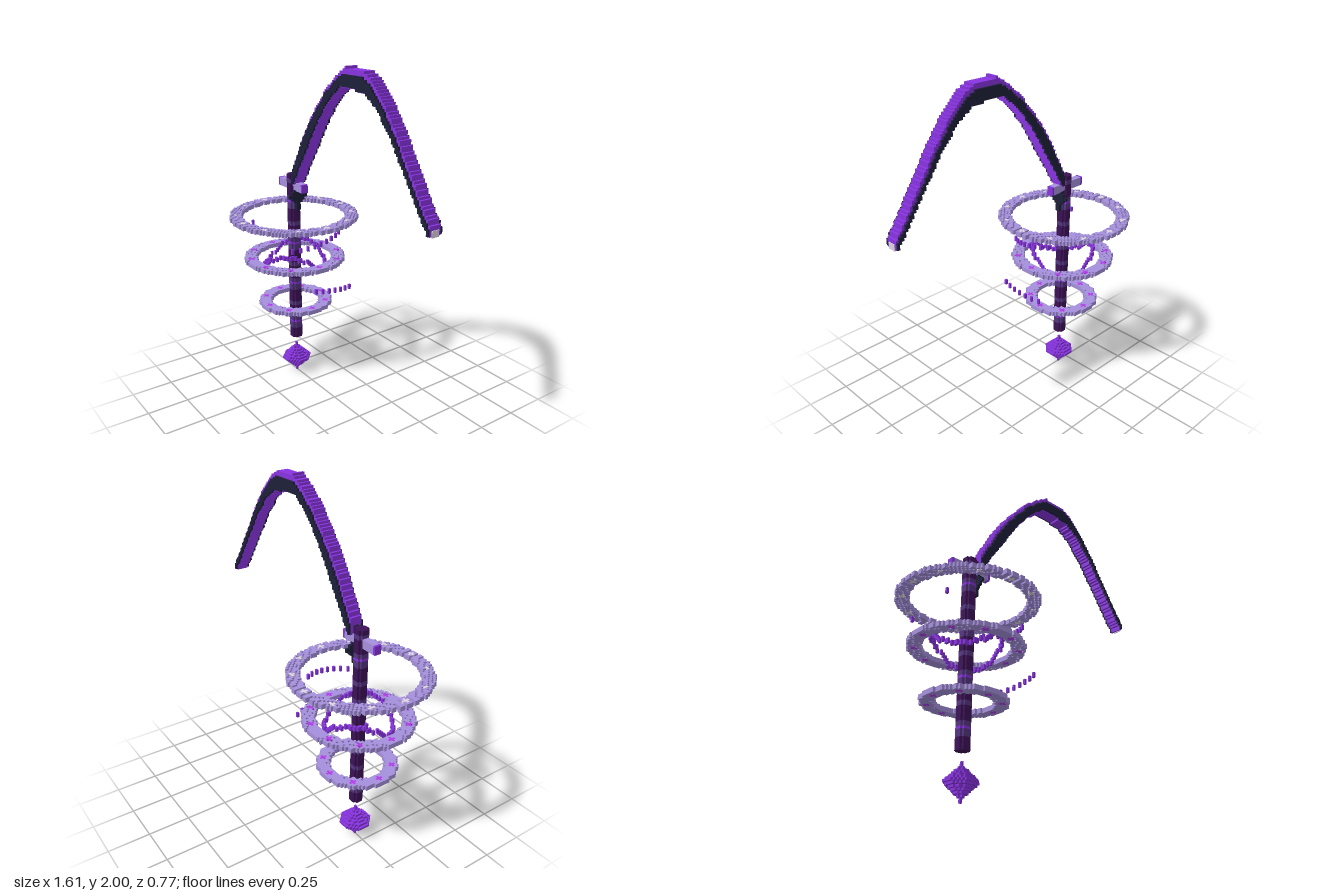
import * as THREE from 'three';
import { mergeGeometries } from 'three/addons/utils/BufferGeometryUtils.js';

const V = 2 / 150; // edge of one cube cell
const P = 0.0135; // cell pitch in the rings
const CX = -0.425; // x of the shaft axis

const mat = (name, color) => new THREE.MeshStandardMaterial({ name, color });

// One box given by its minimum and maximum corners
function box(x0, x1, y0, y1, z0, z1) {
  const g = new THREE.BoxGeometry(x1 - x0, y1 - y0, z1 - z0);
  return g.translate((x0 + x1) / 2, (y0 + y1) / 2, (z0 + z1) / 2);
}

// One box given by its centre and size
const block = (x, y, z, w, h) =>
  box(x - w / 2, x + w / 2, y - h / 2, y + h / 2, z - w / 2, z + w / 2);

// Blocky disc around the shaft axis, radius in cells
function disc(r, y0, y1) {
  const rows = [];
  for (let k = -Math.floor(r); k <= r; k++) {
    const half = (Math.floor(Math.sqrt(r * r - k * k)) + 0.5) * V;
    rows.push(box(CX - half, CX + half, y0, y1, (k - 0.5) * V, (k + 0.5) * V));
  }
  return rows;
}

// Linear interpolation through [x, y] points
function follow(points, x) {
  let i = 1;
  while (i < points.length - 1 && points[i][0] < x) i++;
  const [a, b] = [points[i - 1], points[i]];
  const t = Math.min(1, Math.max(0, (x - a[0]) / (b[0] - a[0])));
  return a[1] + (b[1] - a[1]) * t;
}
const snap = (y) => Math.round(y / V) * V;

export function createModel() {
  const model = new THREE.Group();
  const purple = mat('bright purple', 0x8833e0);
  const navy = mat('dark navy', 0x1d2038);
  const lavender = mat('lavender', 0xa590dc);
  const pale = mat('pale grey', 0xdcd4de);
  const pink = mat('glowing magenta', 0xb83cf0);
  const dark = mat('dark plum', 0x3c1156);
  const plum = mat('mid plum', 0x553580);

  const add = (name, material, parts) => {
    const mesh = new THREE.Mesh(mergeGeometries(parts), material);
    mesh.name = name;
    model.add(mesh);
  };

  // Floating crystal at the foot
  const crystal = [];
  for (let j = -7; j <= 7; j++) {
    const r = Math.max(0.5, 6.4 - Math.abs(j));
    crystal.push(...disc(r, (j + 7) * V, (j + 8) * V));
  }
  add('crystal', purple, crystal);

  // Shaft with repeating bands
  const shaft = { dark: [], plum: [], glow: [] };
  for (let j = 0; j < 81; j++) {
    const p = j % 20;
    const kind = p === 8 ? 'glow' : (p >= 5 && p <= 10) || p === 17 || p === 18 ? 'plum' : 'dark';
    shaft[kind].push(...disc(2.5, 0.25 + j * V, 0.25 + (j + 1) * V));
  }
  add('shaft', dark, shaft.dark);
  add('shaftBands', plum, shaft.plum);
  add('shaftGlowBands', purple, shaft.glow);

  // Three rings of cells, sampled by angle so the larger ones open up
  const ring = (name, y, r0, r1, marks, markMaterial) => {
    const seen = new Set();
    const plain = [], marked = [];
    const mid = (r0 + r1) / 2;
    const centres = Array.from({ length: marks }, (_, i) => {
      const a = (i / marks) * Math.PI * 2 + Math.PI;
      return [Math.round(Math.cos(a) * mid), Math.round(Math.sin(a) * mid)];
    });
    for (let i = 0; i < 120; i++) {
      const a = (i / 120) * Math.PI * 2;
      for (let r = r0; r <= r1; r++) {
        const x = Math.round(Math.cos(a) * r), z = Math.round(Math.sin(a) * r);
        const key = x + ',' + z;
        if (seen.has(key)) continue;
        seen.add(key);
        const hit = centres.some(([mx, mz]) => Math.abs(mx - x) + Math.abs(mz - z) <= 1);
        (hit ? marked : plain).push(block(CX + x * P, y, z * P, P, 2 * V));
      }
    }
    add(name, lavender, plain);
    add(name + 'Marks', markMaterial, marked);
  };
  ring('lowerRing', 0.503, 12, 16, 8, pink);
  ring('middleRing', 0.8, 18, 22, 10, pink);
  ring('upperRing', 1.07, 24, 28, 12, pale);

  // Thin wavy band inside the middle ring
  const wave = [];
  for (let i = 0; i < 72; i++) {
    const a = (i / 72) * Math.PI * 2;
    wave.push(block(
      CX + Math.round(Math.cos(a) * 14) * V,
      0.8 + Math.round(Math.sin(a * 2) * 4.4) * V,
      Math.round(Math.sin(a) * 14) * V, V, V * 2));
  }
  add('wavyBand', purple, wave);

  // Loose sparks drifting around the rings
  const sparks = [];
  for (let i = 0; i <= 8; i++) {
    const z = 0.165 - i * 0.041;
    sparks.push(block(CX + Math.sqrt(0.29 ** 2 - z * z), 0.965 - z * 0.18, z, V, 0.03));
  }
  for (let i = 0; i <= 6; i++) {
    const z = 0.1 - i * 0.042;
    sparks.push(block(CX + Math.sqrt(0.395 ** 2 - z * z), 0.72 - i * 0.006, z, V, 0.03));
  }
  sparks.push(block(CX - 0.245, 0.935, -0.15, V, 0.03));
  sparks.push(block(CX - 0.245, 0.985, 0.15, V, 0.03));
  add('sparks', purple, sparks);

  // Crossbar with coloured ends
  add('crossbar', lavender, [box(-0.543, -0.312, 1.235, 1.285, -0.02, 0.02)]);
  add('crossbarEnds', purple, [
    box(-0.557, -0.543, 1.235, 1.285, -0.02, 0.02),
    box(-0.312, -0.298, 1.235, 1.285, -0.02, 0.02),
  ]);

  // Bracket and knot that hold the blade
  add('bladeBracket', navy, [
    box(-0.388, -0.368, 1.115, 1.33, -0.014, 0.014),
    box(-0.386, -0.37, 1.16, 1.24, -0.027, 0.027),
    box(-0.387, -0.369, 1.173, 1.227, -0.042, 0.042),
    box(-0.385, -0.371, 1.19, 1.21, -0.062, 0.062),
  ]);

  // Arched blade: purple core between two navy cheeks, stepped column by column
  const top = [[-0.37, 1.375], [-0.25, 1.59], [-0.2, 1.667], [-0.12, 1.767], [-0.03, 1.87],
    [0.05, 1.935], [0.12, 1.985], [0.28, 1.985], [0.35, 1.95], [0.43, 1.87],
    [0.54, 1.725], [0.645, 1.56], [0.75, 1.4], [0.81, 1.31]];
  const bottom = [[-0.37, 1.275], [-0.3, 1.385], [-0.2, 1.54], [-0.1, 1.695], [0, 1.815],
    [0.1, 1.89], [0.3, 1.885], [0.4, 1.815], [0.5, 1.705], [0.6, 1.56], [0.7, 1.41], [0.81, 1.255]];
  const core = [], cheeks = [];
  const start = -0.376, columns = 88;
  for (let i = 0; i < columns; i++) {
    const x0 = start + i * V, x1 = x0 + V, x = x0 + V / 2;
    const lo = snap(follow(bottom, x));
    const hi = snap(follow(top, x));
    core.push(box(x0, x1, lo, hi, -0.035, 0.035));
    const trim = hi - lo > 4.5 * V ? 2 * V : V;
    for (const z of [-0.04, 0.04]) {
      cheeks.push(box(x0, x1, lo + V / 3, hi - trim, z - 0.006, z + 0.006));
    }
  }
  // Small raised ridge at the crest
  core.push(box(0.133, 0.147, 1.98, 2, -0.035, 0.035));
  add('bladeCore', purple, core);
  add('bladeCheeks', navy, cheeks);

  // Pale plate on the blade tip
  const tip = start + columns * V;
  add('bladeTip', pale, [box(tip - 0.003, tip + 0.004, 1.275, 1.31, -0.022, 0.022)]);

  return model;
}
